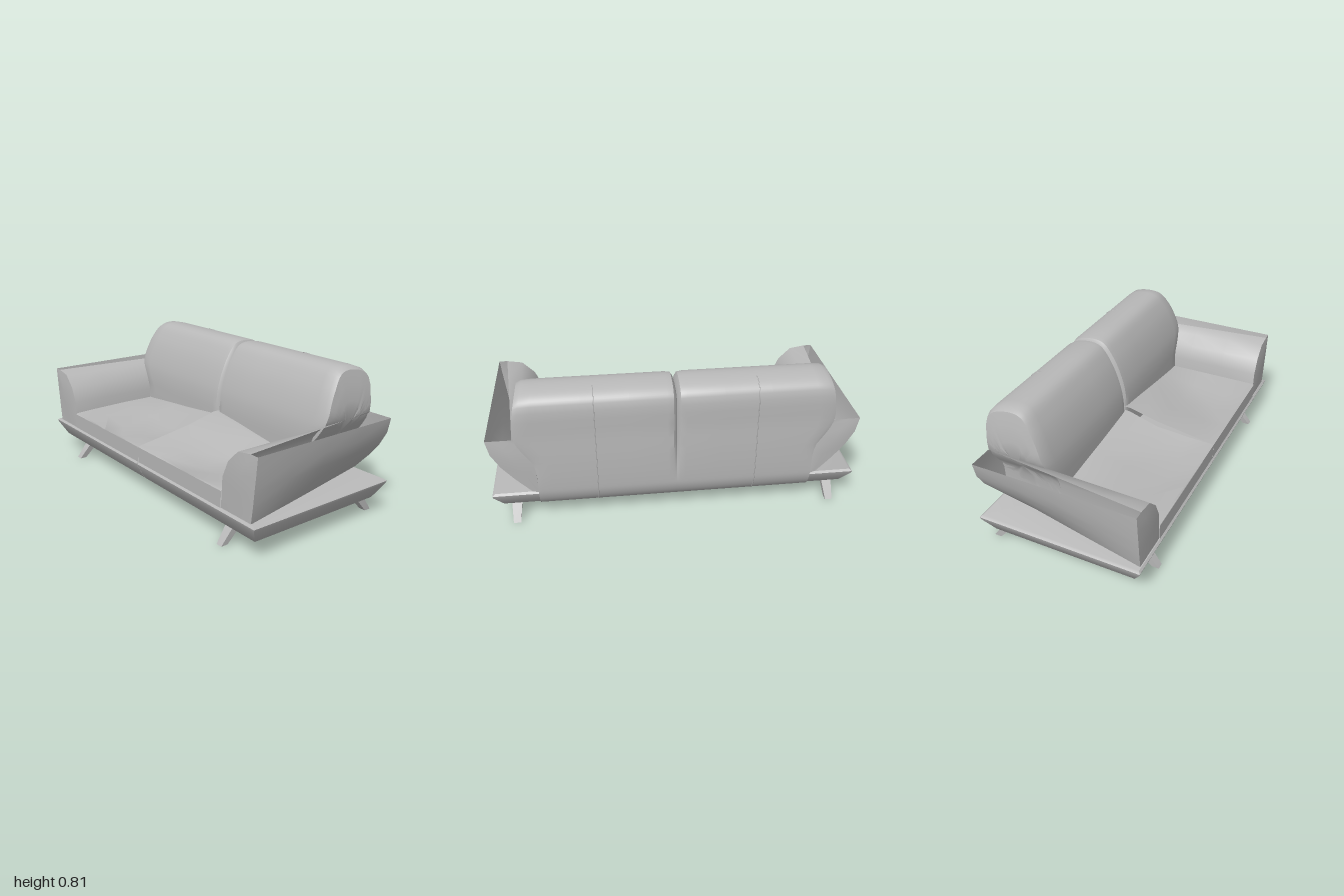
import * as THREE from 'three';
import { toCreasedNormals } from 'three/addons/utils/BufferGeometryUtils.js';

// Open shells make up the armrests and seat, so both sides show
const fabric = new THREE.MeshStandardMaterial({ color: 0xb8b8b8, side: THREE.DoubleSide });
fabric.name = 'grey';

// Skin a grid of [x, y, z] rows; normals follow column direction x row direction
function skin(name, rows, flip, crease) {
  const n = rows[0].length, index = [];
  for (let i = 0; i < rows.length - 1; i++) {
    for (let j = 0; j < n - 1; j++) {
      const a = i * n + j, b = a + 1, d = a + n, c = d + 1;
      if (flip) index.push(a, c, b, a, d, c);
      else index.push(a, b, c, a, c, d);
    }
  }
  const geo = new THREE.BufferGeometry();
  geo.setAttribute('position', new THREE.Float32BufferAttribute(rows.flat(2), 3));
  geo.setIndex(index);
  const mesh = new THREE.Mesh(toCreasedNormals(geo, crease), fabric);
  mesh.name = name;
  return mesh;
}

// Same skin for either side of the model
const sided = (side, name, rows, flip = false, crease = 0.7) =>
  skin(name, rows.map(r => r.map(([x, y, z]) => [x * side, y, z])), side < 0 ? !flip : flip, crease);

// Closed stack of rectangles [y, x0, x1, zBack, zFront], bottom to top
function stack(side, name, levels) {
  const ring = ([y, x0, x1, zb, zf]) =>
    [[x0, y, zf], [x1, y, zf], [x1, y, zb], [x0, y, zb], [x0, y, zf]];
  const centre = ([y, x0, x1, zb, zf]) => Array(5).fill([(x0 + x1) / 2, y, (zb + zf) / 2]);
  return sided(side, name, [centre(levels[0]), ...levels.map(ring), centre(levels.at(-1))], false, 0.6);
}

// Backrest outline as [z, y], from the front bottom over the top to the underside
const backProfile = [
  [-0.11, 0.2], [-0.11, 0.36], [-0.113, 0.45], [-0.125, 0.53], [-0.16, 0.64], [-0.2, 0.72],
  [-0.25, 0.785], [-0.3, 0.804], [-0.38, 0.798], [-0.44, 0.775], [-0.468, 0.74], [-0.475, 0.55],
  [-0.48, 0.4], [-0.478, 0.25], [-0.472, 0.19], [-0.452, 0.14], [-0.422, 0.104], [-0.38, 0.087],
  [-0.16, 0.085]];
const backCurve = new THREE.CatmullRomCurve3(backProfile.map(([z, y]) => new THREE.Vector3(0, y, z)));

// Half width of the backrest at a given height
const edgeCurve = [[0, 0.75], [0.34, 0.75], [0.4, 0.765], [0.47, 0.815], [0.53, 0.85],
  [0.58, 0.857], [0.7, 0.842], [0.82, 0.815]];
function edge(y) {
  for (let i = 1; i < edgeCurve.length; i++) {
    const [y0, x0] = edgeCurve[i - 1], [y1, x1] = edgeCurve[i];
    if (y <= y1) return x0 + (x1 - x0) * (y - y0) / (y1 - y0);
  }
  return 0.815;
}

function backrest(side) {
  // [fraction of width, scale of outline]
  const stations = [[0, 0.86], [0.008, 0.93], [0.022, 0.985], [0.06, 1], [0.3, 1], [0.6, 1],
    [0.9, 1], [0.97, 0.99], [1, 0.95], [1, 0.75], [1, 0.5], [1, 0.25], [1, 0.01]];
  const outline = backCurve.getPoints(72);
  const rows = stations.map(([t, s]) => outline.map(({ y, z }) => {
    // The part wrapping below the platform keeps its full size
    const k = s > 0.8 ? 1 - (1 - s) * THREE.MathUtils.smoothstep(y, 0.2, 0.5) : s;
    const yy = 0.45 + (y - 0.45) * k;
    return [t * edge(yy), yy, -0.3 + (z + 0.3) * k];
  }));
  return sided(side, 'backrest', rows, true, 0.6);
}

// Raised seam running down the rear of the backrest
function backSeam(side) {
  const pts = backProfile.slice(8, 18).map(([z, y]) => new THREE.Vector3(side * 0.43, y, z));
  const mesh = new THREE.Mesh(
    new THREE.TubeGeometry(new THREE.CatmullRomCurve3(pts), 40, 0.003, 5), fabric);
  mesh.name = 'backSeam';
  return mesh;
}

// Softly creased seat; height rows run from front to back, columns from the middle outwards
function seat(side, heights) {
  const xs = [0.001, 0.2, 0.4, 0.58, 0.745];
  const zs = [0.455, 0.455, 0.44, 0.31, 0.1, -0.08, -0.14];
  const rows = zs.map((z, i) => xs.map((x, j) => [x, heights[i][j], z]));
  return sided(side, 'seat', rows, false, 0.8);
}

function armrest(side) {
  const group = new THREE.Group();
  group.name = 'armrest';
  const lerp = (a, b, t) => a.map((p, i) => [0, 1].map(k => p[k] + (b[i][k] - p[k]) * t));
  // [x, y] sections at the front and at the back; the outer wall twists inwards to the rear
  const innerFront = [[0.74, 0.2], [0.75, 0.37], [0.79, 0.46], [0.86, 0.53], [0.95, 0.545]];
  const innerBack = [[0.75, 0.2], [0.755, 0.36], [0.78, 0.45], [0.82, 0.51], [0.86, 0.545]];
  const outerFront = [[0.96, 0.2], [0.972, 0.29], [0.98, 0.37], [0.99, 0.46], [0.998, 0.545]];
  const outerBack = [[0.785, 0.21], [0.87, 0.3], [0.935, 0.38], [0.98, 0.46], [0.998, 0.545]];
  const wall = (front, back) => [0, 0.25, 0.5, 0.75, 1].map(t =>
    lerp(front, back, t).map(([x, y]) => [x, y, 0.45 - 0.91 * t]));
  const inner = wall(innerFront, innerBack), outer = wall(outerFront, outerBack);
  // End panels bulge slightly between the two walls
  const panel = (i, bulge) => [inner[i],
    inner[i].map((p, j) => [(p[0] + outer[i][j][0]) / 2, (p[1] + outer[i][j][1]) / 2,
      p[2] + bulge * Math.sin(Math.PI * j / 4)]), outer[i]];
  group.add(
    sided(side, 'armInner', inner, false, 1),
    sided(side, 'armOuter', outer, true, 1),
    sided(side, 'armFront', panel(0, 0.012), true),
    sided(side, 'armBack', panel(4, -0.012)));
  return group;
}

export function createModel() {
  const model = new THREE.Group();
  model.name = 'sofa';

  const seatHeights = {
    1: [[0.2, 0.2, 0.2, 0.2, 0.2], [0.295, 0.295, 0.295, 0.295, 0.295], [0.3, 0.3, 0.285, 0.295, 0.3],
      [0.32, 0.305, 0.265, 0.285, 0.3], [0.355, 0.335, 0.27, 0.285, 0.3],
      [0.4, 0.375, 0.345, 0.32, 0.3], [0.4, 0.375, 0.345, 0.32, 0.3]],
    '-1': [[0.2, 0.2, 0.2, 0.2, 0.2], [0.295, 0.295, 0.295, 0.295, 0.295], [0.3, 0.295, 0.28, 0.295, 0.3],
      [0.305, 0.275, 0.27, 0.3, 0.305], [0.32, 0.275, 0.3, 0.31, 0.31],
      [0.375, 0.355, 0.34, 0.325, 0.31], [0.38, 0.36, 0.34, 0.325, 0.31]],
  };

  for (const side of [1, -1]) {
    // Bevelled platform, split along the middle
    model.add(stack(side, 'base', [
      [0.09, 0.002, 0.935, -0.39, 0.395], [0.1, 0.002, 0.952, -0.408, 0.415],
      [0.18, 0.002, 0.995, -0.462, 0.46], [0.195, 0.002, 1, -0.467, 0.465],
      [0.205, 0.002, 0.985, -0.455, 0.455]]));
    model.add(seat(side, seatHeights[side]), backrest(side), backSeam(side), armrest(side));

    // Splayed legs
    model.add(stack(side, 'frontLeg', [
      [0, 0.715, 0.752, 0.415, 0.455], [0.1, 0.7, 0.757, 0.32, 0.375]]));
    model.add(stack(side, 'backLeg', [
      [0, 0.868, 0.908, -0.46, -0.42], [0.1, 0.855, 0.912, -0.385, -0.33]]));
  }
  return model;
}
